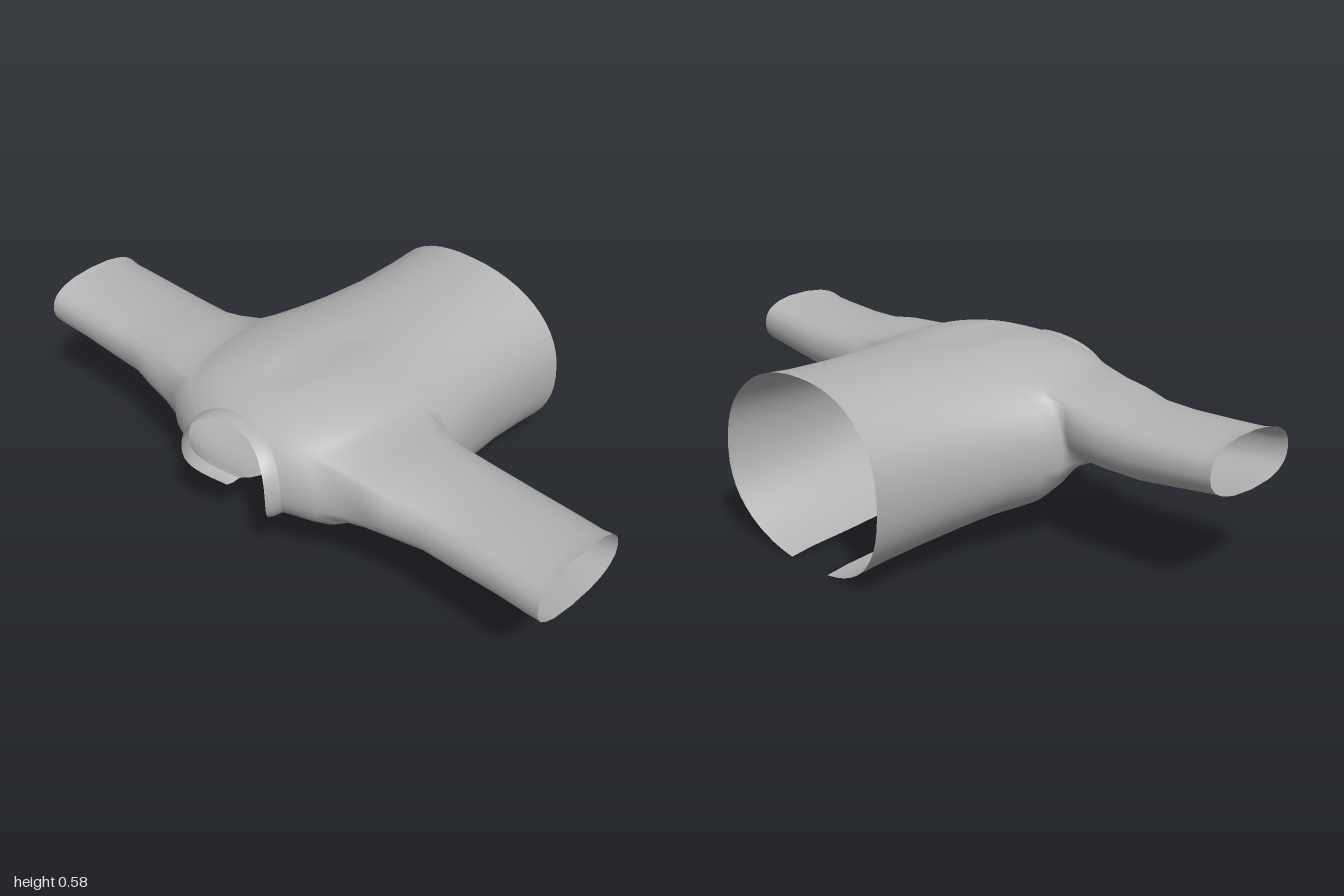
import * as THREE from 'three';

const CX = -0.03;      // body centre line
const N = 48;          // segments around the body
const GAP = 0.085;     // half width of the front opening
const POW = 2 / 2.25;  // roundness of the sections

const spow = (v, p) => Math.sign(v) * Math.pow(Math.abs(v), p);

// Body sections from hem to neck: z, half width, top y, bottom y, bend
const BODY = [
  [-0.54, 0.352, 0.582, -0.008, -0.3],
  [-0.45, 0.35, 0.575, 0.004, 0],
  [-0.3, 0.352, 0.572, 0.018, 0],
  [-0.15, 0.372, 0.572, 0.036, 0],
  [-0.05, 0.395, 0.573, 0.05, 0],
  [0.03, 0.418, 0.575, 0.055, 0],
  [0.08, 0.438, 0.577, 0.062, 0],
  [0.14, 0.432, 0.579, 0.08, 0],
  [0.2, 0.425, 0.58, 0.11, 0],
  [0.26, 0.415, 0.577, 0.135, 0],
  [0.32, 0.405, 0.569, 0.15, 0.1],
  [0.37, 0.39, 0.557, 0.165, 0.25],
  [0.42, 0.355, 0.54, 0.18, 0.5],
  [0.447, 0.3, 0.527, 0.19, 0.75],
  [0.465, 0.235, 0.518, 0.195, 0.9],
  [0.475, 0.195, 0.512, 0.195, 1],
];
// Collar band: continues from the last body section
const COLLAR = [
  [0.475, 0.195, 0.512, 0.195, 1],
  [0.5, 0.187, 0.515, 0.192, 1],
  [0.52, 0.178, 0.505, 0.198, 1],
];
// Sleeve sections: x, centre z, half depth, centre y, half height
const SLEEVE = [
  [0.5, 0.25, 0.185, 0.388, 0.108],
  [0.6, 0.235, 0.174, 0.383, 0.1],
  [0.72, 0.235, 0.173, 0.383, 0.097],
  [0.86, 0.242, 0.172, 0.393, 0.09],
  [0.96, 0.25, 0.173, 0.4, 0.085],
  [1.0, 0.252, 0.174, 0.406, 0.088],
];
// Armhole: block of body cells between these sections and columns
const J0 = 6, J1 = 12, HOLES = [[9, 17, 1], [31, 39, -1]];

function bodyPoint([z, w, top, bottom, bend], i) {
  const g = Math.asin(Math.pow(Math.min(1, GAP / w), 1 / POW));
  const t = g + (2 * Math.PI - 2 * g) * i / N;
  const cy = (top + bottom) / 2, h = (top - bottom) / 2;
  const s = Math.sin(t), c = Math.cos(t);
  const dz = bend * (0.05 * s * s - 0.055 * Math.max(0, c) ** 2);
  // shallow back pleat
  const pleat = i === N / 2 && z > 0.02 && z < 0.36 ? 0.012 : 0;
  return [CX + w * spow(s, POW), cy - h * spow(c, POW) - pleat, z + dz];
}

export function createModel() {
  const positions = [];
  const add = (p) => positions.push(...p) / 3 - 1;
  const quad = (out, a, b, c, d) => out.push(a, b, c, a, c, d);

  // Body with two armholes
  const grid = BODY.map((row) => Array.from({ length: N + 1 }, (_, i) => add(bodyPoint(row, i))));
  const bodyFaces = [];
  for (let j = 0; j < BODY.length - 1; j++) {
    for (let i = 0; i < N; i++) {
      const open = j >= J0 && j < J1 && HOLES.some(([a, b]) => i >= a && i < b);
      if (!open) quad(bodyFaces, grid[j][i], grid[j][i + 1], grid[j + 1][i + 1], grid[j + 1][i]);
    }
  }

  // Sleeves lofted from each armhole edge to the cuff
  const sleeveFaces = HOLES.map(([i0, i1, side]) => {
    const loop = [];
    for (let i = i0; i < i1; i++) loop.push(grid[J0][i]);
    for (let j = J0; j < J1; j++) loop.push(grid[j][i1]);
    for (let i = i1; i > i0; i--) loop.push(grid[J1][i]);
    for (let j = J1; j > J0; j--) loop.push(grid[j][i0]);
    const edge = loop.map((k) => positions.slice(k * 3, k * 3 + 3));
    const angles = edge.map(([, y, z]) => Math.atan2((y - 0.385) / 0.12, (z - 0.25) / 0.17));

    const rings = SLEEVE.map(([x, cz, hz, cy, hy]) => angles.map((a) => [
      side * x + CX * (1 - x) * 1.4,
      cy + hy * spow(Math.sin(a), 0.85),
      cz + hz * spow(Math.cos(a), 0.85),
    ]));
    // blend ring softens the shoulder
    rings.unshift(edge.map((p, k) => p.map((v, n) => v + (rings[0][k][n] - v) * (n ? 0.6 : 0.5))));

    const faces = [];
    let prev = loop;
    for (const ring of rings) {
      const next = ring.map(add);
      next.forEach((_, k) => {
        const m = (k + 1) % next.length;
        quad(faces, prev[k], prev[m], next[m], next[k]);
      });
      prev = next;
    }
    return faces;
  });

  // Collar band
  const band = COLLAR.map((row) => Array.from({ length: N + 1 }, (_, i) => add(bodyPoint(row, i))));
  const collarFaces = [];
  for (let j = 0; j < COLLAR.length - 1; j++) {
    for (let i = 0; i < N; i++) {
      quad(collarFaces, band[j][i], band[j][i + 1], band[j + 1][i + 1], band[j + 1][i]);
    }
  }

  // Shared smooth normals keep the shoulders seamless
  const whole = new THREE.BufferGeometry();
  whole.setAttribute('position', new THREE.Float32BufferAttribute(positions, 3));
  whole.setIndex([...bodyFaces, ...sleeveFaces.flat(), ...collarFaces]);
  whole.computeVertexNormals();

  const cloth = new THREE.MeshStandardMaterial({ color: 0xb4b4b4, side: THREE.DoubleSide });
  cloth.name = 'grey cloth';
  const group = new THREE.Group();
  group.name = 'openJacket';
  const part = (name, faces) => {
    const geometry = new THREE.BufferGeometry();
    geometry.setAttribute('position', whole.getAttribute('position'));
    geometry.setAttribute('normal', whole.getAttribute('normal'));
    geometry.setIndex(faces);
    const mesh = new THREE.Mesh(geometry, cloth);
    mesh.name = name;
    group.add(mesh);
  };
  part('body', bodyFaces);
  part('leftSleeve', sleeveFaces[0]);
  part('rightSleeve', sleeveFaces[1]);
  part('collar', collarFaces);
  return group;
}
